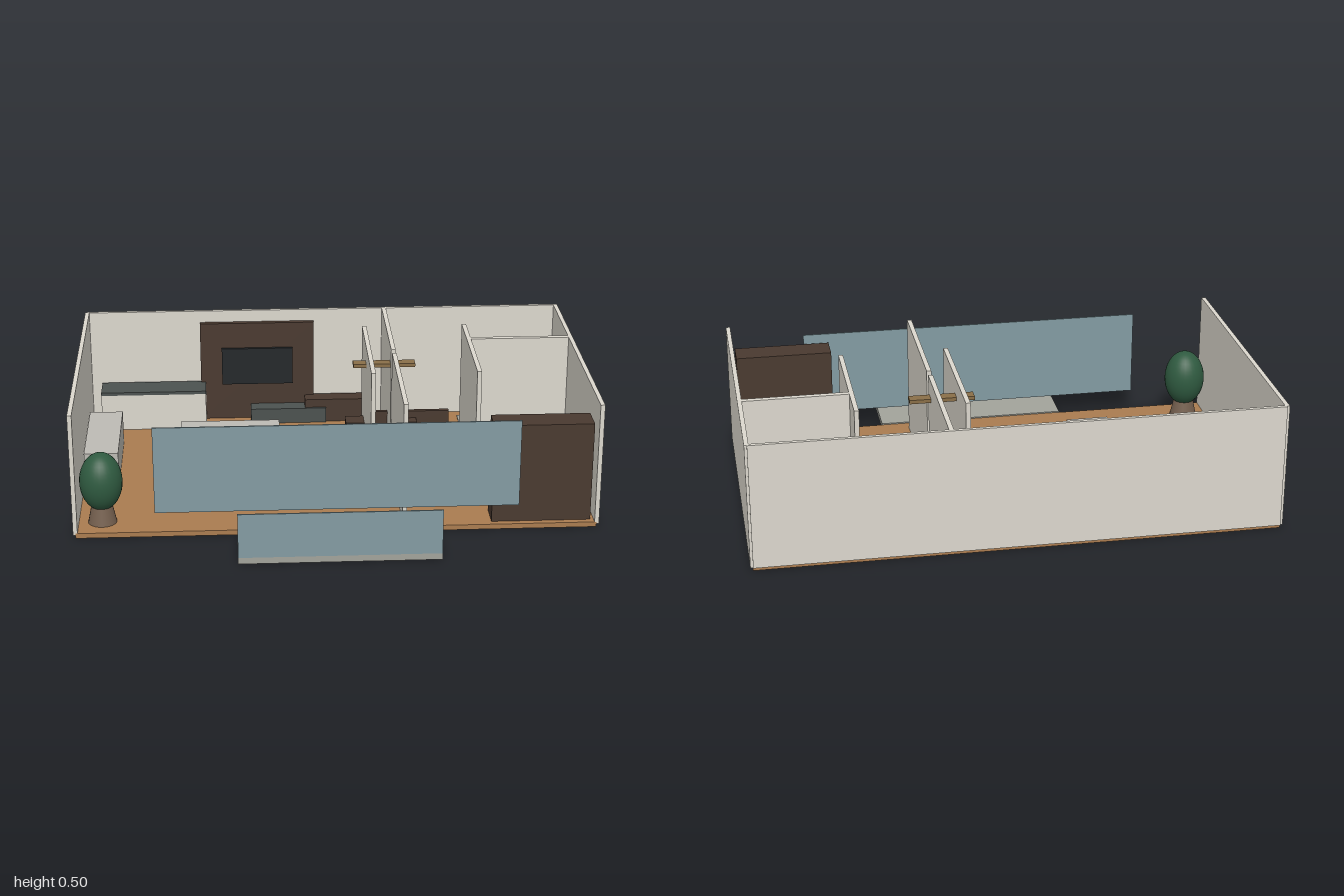
import * as THREE from 'three';

const mat = (c) => new THREE.MeshStandardMaterial({ color: c });
const M = {
  wall: mat(0xdcd8ce), wood: mat(0xaa7c50), dark: mat(0x4a3a30), black: mat(0x24282a),
  stone: mat(0x4c5250), light: mat(0xbdbbb4), fabric: mat(0xa2a39b), glass: mat(0x839ba2),
  rug: mat(0x28604a), leaf: mat(0x2f5a40), pot: mat(0x75604f), brass: mat(0x8a6f48),
};
const F = 0.02; // floor level

export function createModel() {
  const root = new THREE.Group();

  const add = (name, geo, m, x, y, z, parent = root) => {
    const mesh = new THREE.Mesh(geo, m);
    mesh.name = name;
    mesh.position.set(x, y, z);
    parent.add(mesh);
    return mesh;
  };
  // box given by its limits on each axis
  const box = (name, m, x0, x1, y0, y1, z0, z1, parent = root) =>
    add(name, new THREE.BoxGeometry(x1 - x0, y1 - y0, z1 - z0), m,
      (x0 + x1) / 2, (y0 + y1) / 2, (z0 + z1) / 2, parent);
  const group = (name) => {
    const g = new THREE.Group();
    g.name = name;
    root.add(g);
    return g;
  };

  // floors and balcony
  box('floor', M.wood, -0.99, 0.99, 0, F, -0.7, 0.455);
  box('bathroomFloor', M.fabric, 0.575, 0.98, F, 0.024, -0.64, -0.31);
  box('balconyFloor', M.fabric, -0.38, 0.375, 0, 0.025, 0.455, 0.705);
  box('balconyGlass', M.glass, -0.38, 0.375, 0.025, 0.2, 0.699, 0.705);
  box('windowGlass', M.glass, -0.69, 0.69, 0.1, 0.445, 0.452, 0.458);

  // outer and inner walls
  const walls = group('walls');
  [
    ['backWall', -0.99, 0.99, -0.705, -0.69],
    ['rightWall', -1, -0.983, -0.7, 0.455],
    ['leftWall', 0.983, 1, -0.7, 0.455],
    ['rearPartition', 0.25, 0.268, -0.69, -0.18],
    ['frontPartition', 0.25, 0.268, -0.14, 0.41],
    ['diningPartition', 0.152, 0.17, -0.47, -0.08 + 0.16],
    ['bedroomPartition', 0.566, 0.584, -0.47, 0.08],
    ['bathroomPartition', 0.58, 0.983, -0.31, -0.288],
  ].forEach(([n, x0, x1, z0, z1]) => box(n, M.wall, x0, x1, 0.012, 0.5, z0, z1, walls));

  // kitchen: counter with dark top, side counter, island and stools
  const kitchen = group('kitchen');
  box('counterCabinet', M.wall, -0.94, -0.5, F, 0.175, -0.68, -0.56, kitchen);
  box('counterTop', M.stone, -0.94, -0.5, 0.175, 0.188, -0.68, -0.56, kitchen);
  box('sideCounter', M.light, -0.98, -0.845, F, 0.155, -0.43, 0.01, kitchen);
  box('island', M.light, -0.6, -0.2, F, 0.175, -0.26, -0.08, kitchen);
  [-0.245, -0.1].forEach((z) =>
    box('stool', M.dark, -0.19, -0.12, F, 0.12, z - 0.036, z + 0.036, kitchen));

  // television wall
  box('televisionPanel', M.dark, -0.52, -0.04, F, 0.45, -0.69, -0.668);
  box('television', M.black, -0.43, -0.13, 0.18, 0.34, -0.668, -0.655);
  box('lowConsole', M.stone, -0.31, 0.01, F, 0.085, -0.68, -0.6);
  box('sideboard', M.dark, -0.08, 0.17, F, 0.12, -0.68, -0.61);

  // lounge
  box('rug', M.rug, -0.36, 0.08, F, 0.025, -0.13, 0.19);
  box('sofaChaise', M.light, -0.53, -0.36, F, 0.095, -0.08, 0.21);
  box('sofaSeat', M.fabric, -0.34, 0.05, F, 0.08, -0.08, 0.065);
  box('sofaBack', M.fabric, -0.34, 0.05, F, 0.1, -0.11, -0.08);
  box('coffeeTable', M.wood, -0.24, -0.05, F, 0.075, 0.085, 0.185);

  // dining table, chairs and hanging lamp
  const dining = group('diningSet');
  box('tableTop', M.wood, 0.1, 0.35, 0.115, 0.13, -0.305, -0.15, dining);
  for (const x of [0.115, 0.33]) {
    for (const z of [-0.33, -0.12])
      box('chair', M.dark, x - 0.039, x + 0.039, F, 0.14, z - 0.039, z + 0.039, dining);
    for (const z of [-0.29, -0.165])
      box('tableLeg', M.wood, x - 0.008, x + 0.008, F, 0.115, z - 0.008, z + 0.008, dining);
  }
  box('hangingLamp', M.brass, 0.1, 0.35, 0.415, 0.43, -0.25, -0.205, dining);

  // beds with headboards
  for (const x of [0.35, 0.76]) {
    const bed = group('bed');
    box('mattress', M.fabric, x - 0.135, x + 0.135, F, 0.095, -0.34, -0.02, bed);
    box('headboard', M.dark, x - 0.155, x + 0.155, 0.055, 0.17, -0.355, -0.336, bed);
  }
  for (const x of [0.58, 0.94])
    box('nightstand', M.dark, x - 0.04, x + 0.04, F, 0.1, -0.065 + 0.05, 0.068);
  box('wardrobe', M.dark, 0.59, 0.97, F, 0.415, 0.32, 0.43);

  // bathroom
  const bath = group('bathroom');
  box('vanity', M.wood, 0.64, 0.82, F, 0.11, -0.66, -0.56, bath);
  box('washer', M.black, 0.82, 0.95, F, 0.17, -0.68, -0.55, bath);
  box('washerBase', M.light, 0.84, 0.93, F, 0.08, -0.55, -0.525, bath);
  box('sinkFrame', M.dark, 0.83, 0.96, F, 0.12, -0.443, -0.365, bath);
  box('sinkBasin', M.light, 0.84, 0.95, 0.12, 0.125, -0.433, -0.375, bath);
  box('showerScreen', M.glass, 0.575, 0.755, F, 0.34, -0.473, -0.467, bath);

  // potted plant
  const plant = group('plant');
  add('pot', new THREE.CylinderGeometry(0.04, 0.055, 0.07, 24), M.pot, -0.893, 0.055, 0.35, plant);
  add('foliage', new THREE.SphereGeometry(0.082, 28, 20), M.leaf, -0.893, 0.188, 0.35, plant)
    .scale.y = 1.41;

  return root;
}
